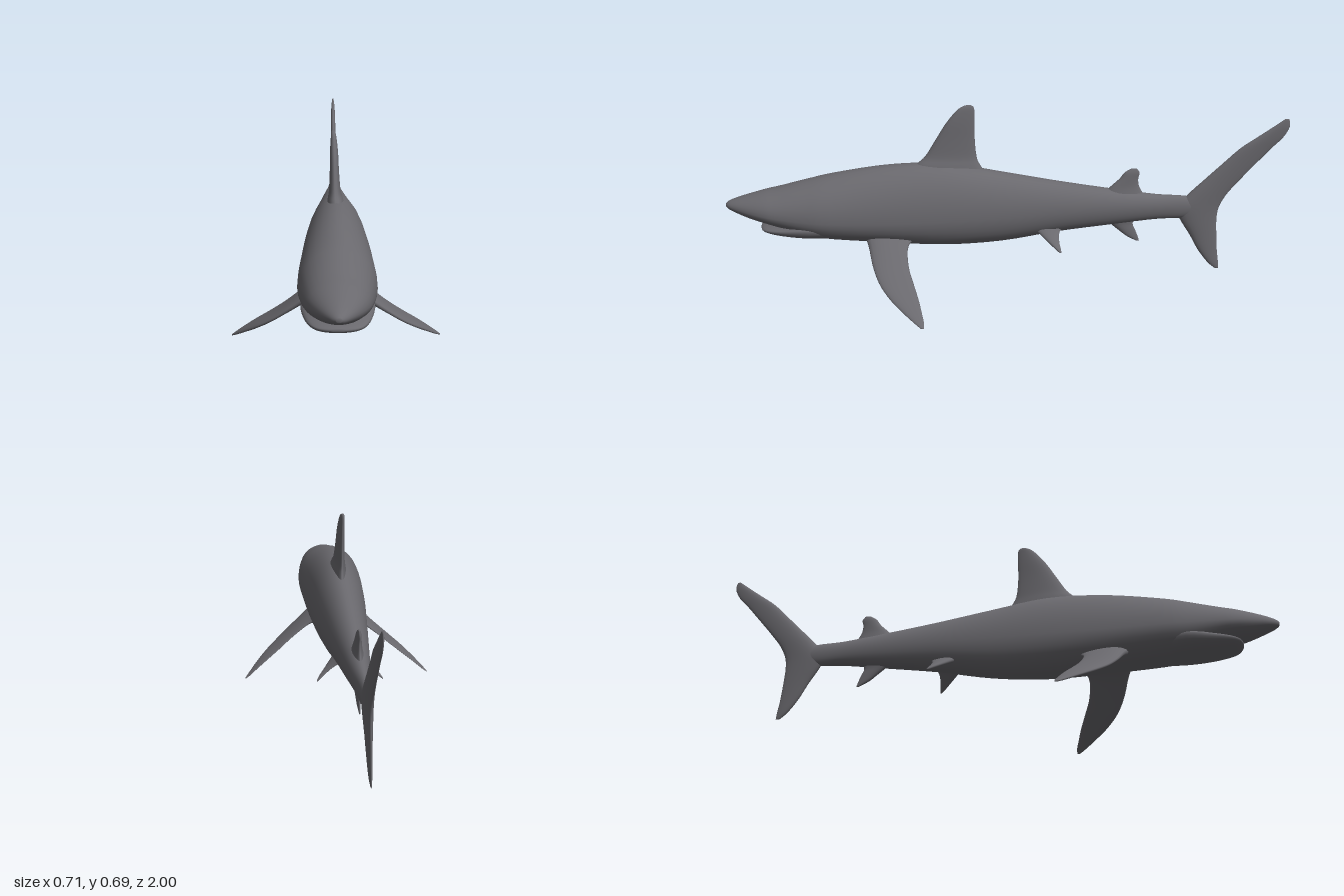
import * as THREE from 'three';

const skin = new THREE.MeshStandardMaterial({ color: 0x6a696e });
skin.name = 'grey skin';

// Smoothly resample rows of numbers, n steps between neighbours
function resample(rows, n) {
  const out = [];
  const last = rows.length - 1;
  for (let i = 0; i < last; i++) {
    const p0 = rows[Math.max(i - 1, 0)], p1 = rows[i], p2 = rows[i + 1], p3 = rows[Math.min(i + 2, last)];
    for (let k = 0; k < n; k++) {
      const t = k / n;
      out.push(p1.map((b, j) => {
        const v0 = (p2[j] - p0[j]) / 2, v1 = (p3[j] - b) / 2, c = p2[j];
        return (2 * b - 2 * c + v0 + v1) * t ** 3 + (3 * c - 3 * b - 2 * v0 - v1) * t * t + v0 * t + b;
      }));
    }
  }
  out.push(rows[last]);
  return out;
}

// Skin a list of closed rings, with capped ends and outward faces
function loft(name, rings) {
  const n = rings[0].length, pts = rings.flat(), idx = [];
  for (let i = 0; i < rings.length - 1; i++) {
    for (let j = 0; j < n; j++) {
      const a = i * n + j, b = i * n + (j + 1) % n;
      idx.push(a, b, b + n, a, b + n, a + n);
    }
  }
  [0, rings.length - 1].forEach((r, end) => {
    const mid = new THREE.Vector3();
    rings[r].forEach(p => mid.addScaledVector(p, 1 / n));
    const c = pts.push(mid) - 1;
    for (let j = 0; j < n; j++) {
      const a = r * n + j, b = r * n + (j + 1) % n;
      if (end) idx.push(a, b, c); else idx.push(b, a, c);
    }
  });
  // A negative enclosed volume means the winding is inside out
  let volume = 0;
  const cross = new THREE.Vector3();
  for (let i = 0; i < idx.length; i += 3) {
    volume += pts[idx[i]].dot(cross.crossVectors(pts[idx[i + 1]], pts[idx[i + 2]]));
  }
  if (volume < 0) idx.reverse();
  const g = new THREE.BufferGeometry().setFromPoints(pts);
  g.setIndex(idx);
  g.computeVertexNormals();
  const mesh = new THREE.Mesh(g, skin);
  mesh.name = name;
  return mesh;
}

// Rows: z, top, bottom, half width, height of the widest line
function trunk(name, rows) {
  return loft(name, resample(rows, 4).map(([z, top, bottom, w, mid]) => {
    const ring = [];
    for (let j = 0; j < 32; j++) {
      const a = j / 32 * Math.PI * 2, s = Math.sin(a), c = Math.cos(a);
      const x = Math.sign(c) * Math.abs(c) ** (s < 0 ? 0.85 : 1.06) * w;
      ring.push(new THREE.Vector3(x, mid + s * (s > 0 ? top - mid : mid - bottom), z));
    }
    return ring;
  }));
}

// Rows: x, y, leading z, trailing z, half thickness; (nx, ny) is the thickness direction
function fin(name, rows, nx = 1, ny = 0, side = 1) {
  return loft(name, resample(rows, 4).map(([x, y, lead, trail, t]) => {
    const ring = [];
    for (let j = 0; j < 20; j++) {
      const a = j / 20 * Math.PI * 2, u = (1 - Math.cos(a)) / 2;
      const h = Math.sin(a) * t * (1.25 - 0.65 * u);
      ring.push(new THREE.Vector3(side * (x + nx * h), y + ny * h, lead + (trail - lead) * u));
    }
    return ring;
  }));
}

export function createModel() {
  const shark = new THREE.Group();
  shark.name = 'shark';

  // Body with the overhanging snout
  shark.add(trunk('body', [
    [0.999, 0.315, 0.303, 0.008, 0.309],
    [0.985, 0.325, 0.293, 0.024, 0.308],
    [0.95, 0.338, 0.28, 0.046, 0.306],
    [0.9, 0.353, 0.264, 0.07, 0.302],
    [0.85, 0.367, 0.252, 0.089, 0.298],
    [0.8, 0.379, 0.238, 0.101, 0.294],
    [0.7, 0.407, 0.208, 0.116, 0.288],
    [0.6, 0.432, 0.193, 0.123, 0.285],
    [0.4, 0.466, 0.18, 0.116, 0.285],
    [0.2, 0.473, 0.171, 0.103, 0.29],
    [0, 0.443, 0.185, 0.085, 0.298],
    [-0.2, 0.41, 0.222, 0.065, 0.31],
    [-0.4, 0.382, 0.25, 0.045, 0.316],
    [-0.55, 0.364, 0.27, 0.029, 0.318],
    [-0.66, 0.358, 0.277, 0.019, 0.318],
    [-0.76, 0.335, 0.3, 0.006, 0.318]
  ]));

  // Lower jaw, leaving a narrow mouth gap below the snout
  shark.add(trunk('lowerJaw', [
    [0.872, 0.239, 0.231, 0.02, 0.235],
    [0.86, 0.245, 0.224, 0.058, 0.236],
    [0.83, 0.253, 0.216, 0.083, 0.238],
    [0.77, 0.265, 0.206, 0.101, 0.242],
    [0.68, 0.28, 0.199, 0.112, 0.25],
    [0.56, 0.28, 0.196, 0.09, 0.25]
  ]));

  shark.add(fin('dorsalFin', [
    [0, 0.43, 0.34, 0.05, 0.036],
    [-0.002, 0.47, 0.305, 0.078, 0.027],
    [-0.004, 0.5, 0.272, 0.09, 0.02],
    [-0.005, 0.56, 0.235, 0.096, 0.016],
    [-0.006, 0.62, 0.198, 0.096, 0.014],
    [-0.007, 0.665, 0.162, 0.096, 0.01],
    [-0.008, 0.682, 0.14, 0.1, 0.007],
    [-0.008, 0.688, 0.122, 0.108, 0.003]
  ]));

  shark.add(fin('rearDorsalFin', [
    [0, 0.36, -0.36, -0.51, 0.022],
    [0, 0.39, -0.385, -0.49, 0.015],
    [0, 0.42, -0.416, -0.484, 0.011],
    [0, 0.445, -0.434, -0.488, 0.008],
    [0, 0.46, -0.458, -0.478, 0.003]
  ]));

  shark.add(fin('analFin', [
    [0, 0.28, -0.36, -0.48, 0.018],
    [0, 0.25, -0.39, -0.472, 0.012],
    [0, 0.225, -0.42, -0.482, 0.009],
    [0, 0.2, -0.452, -0.492, 0.006],
    [0, 0.182, -0.488, -0.498, 0.002]
  ]));

  // Tail, from the tip of the upper lobe to the tip of the lower lobe
  shark.add(fin('tailFin', [
    [0, 0.648, -0.982, -0.996, 0.003],
    [0, 0.62, -0.945, -1, 0.007],
    [0, 0.58, -0.89, -0.98, 0.009],
    [0, 0.54, -0.836, -0.943, 0.01],
    [0, 0.48, -0.776, -0.892, 0.011],
    [0, 0.42, -0.717, -0.842, 0.013],
    [0, 0.365, -0.664, -0.8, 0.016],
    [0, 0.316, -0.625, -0.777, 0.018],
    [0, 0.27, -0.64, -0.772, 0.016],
    [0, 0.21, -0.678, -0.776, 0.012],
    [0, 0.15, -0.712, -0.782, 0.009],
    [0, 0.1, -0.75, -0.79, 0.006],
    [0, 0.076, -0.778, -0.793, 0.002]
  ]));

  // Paired fins
  for (const [label, side] of [['left', 1], ['right', -1]]) {
    shark.add(fin(label + 'PectoralFin', [
      [0.05, 0.225, 0.5, 0.29, 0.03],
      [0.1, 0.197, 0.474, 0.33, 0.018],
      [0.165, 0.148, 0.452, 0.325, 0.011],
      [0.22, 0.106, 0.424, 0.303, 0.009],
      [0.27, 0.07, 0.382, 0.282, 0.008],
      [0.31, 0.04, 0.334, 0.268, 0.006],
      [0.34, 0.016, 0.292, 0.258, 0.004],
      [0.356, 0.004, 0.268, 0.258, 0.002]
    ], 0.58, 0.81, side));

    shark.add(fin(label + 'PelvicFin', [
      [0.025, 0.255, -0.1, -0.225, 0.018],
      [0.052, 0.235, -0.128, -0.207, 0.011],
      [0.08, 0.212, -0.162, -0.206, 0.007],
      [0.102, 0.193, -0.19, -0.211, 0.005],
      [0.114, 0.182, -0.207, -0.214, 0.002]
    ], 0.65, 0.76, side));
  }
  return shark;
}
